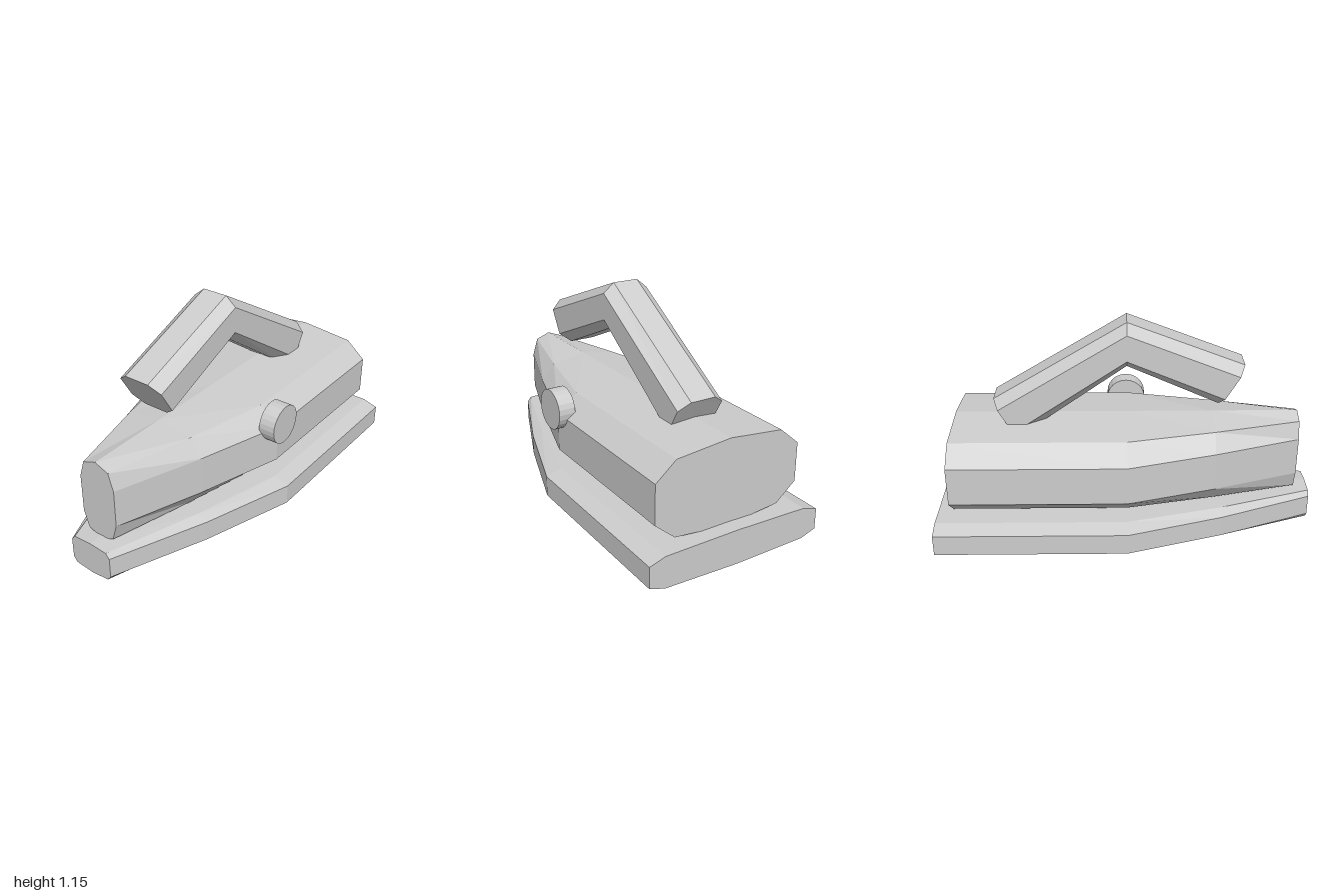
import * as THREE from 'three';

// Closed loft through rings of [x, y, z] points, rings ordered along +x
function loft(rings) {
  const pos = [];
  const tri = (a, b, c) => pos.push(...a, ...b, ...c);
  const n = rings[0].length;
  for (let i = 0; i < rings.length - 1; i++) {
    for (let j = 0; j < n; j++) {
      const k = (j + 1) % n;
      const a = rings[i][j], b = rings[i][k], c = rings[i + 1][k], d = rings[i + 1][j];
      tri(a, b, c);
      tri(a, c, d);
    }
  }
  const first = rings[0], last = rings[rings.length - 1];
  for (let j = 1; j < n - 1; j++) {
    tri(first[0], first[j + 1], first[j]);
    tri(last[0], last[j], last[j + 1]);
  }
  const geo = new THREE.BufferGeometry();
  geo.setAttribute('position', new THREE.Float32BufferAttribute(pos, 3));
  geo.computeVertexNormals();
  return geo;
}

// Mirror a half ring (top to bottom on the +z side) to the -z side
function mirrorRing(half) {
  const other = half.filter(p => p[2] > 0).reverse().map(([x, y, z]) => [x, y, -z]);
  return [...half, ...other];
}

// Hull: one half profile of [z, y], narrowed at each [x, width scale] station
function hull(profile, stations) {
  return loft(stations.map(([x, s]) => mirrorRing(profile.map(([z, y]) => [x, y, z * s]))));
}

export function createModel() {
  const model = new THREE.Group();
  const grey = new THREE.MeshStandardMaterial({ color: 0xcccccc });
  grey.name = 'light grey';
  grey.flatShading = true;

  const add = (name, geo) => {
    const mesh = new THREE.Mesh(geo, grey);
    mesh.name = name;
    model.add(mesh);
    return mesh;
  };

  // Flat base plate tapering towards the tip
  add('solePlate', hull(
    [[0, 0.184], [0.405, 0.177], [0.49, 0.15], [0.49, 0.038], [0.405, 0.01], [0, 0]],
    [[-1, 0.255], [-0.5, 0.67], [0, 1], [1, 1]]));

  // Main body above the plate
  add('body', hull(
    [[0, 0.62], [0.3, 0.59], [0.41, 0.497], [0.41, 0.29], [0.3, 0.197], [0, 0.167]],
    [[-0.92, 0.262], [-0.46, 0.66], [0, 1], [0.917, 1]]));

  // Bent handle: each row is [x, y] from the top face to the bottom face
  const handleZ = [0.07, 0.13, 0.13, 0.07];
  const handleRows = [
    [[-0.612, 0.915], [-0.585, 0.87], [-0.51, 0.745], [-0.482, 0.698]],
    [[0, 1.15], [0, 1.1], [0, 0.96], [0, 0.913]],
    [[0.7, 0.73], [0.675, 0.688], [0.6, 0.557], [0.572, 0.51]],
  ];
  add('handle', loft(handleRows.map(row =>
    mirrorRing(row.map(([x, y], i) => [x, y, handleZ[i]])))));

  // Round dial on the front side
  const dial = add('dial', new THREE.CylinderGeometry(0.107, 0.107, 0.09, 24));
  dial.rotation.x = Math.PI / 2;
  dial.position.set(0, 0.53, 0.41);

  return model;
}
